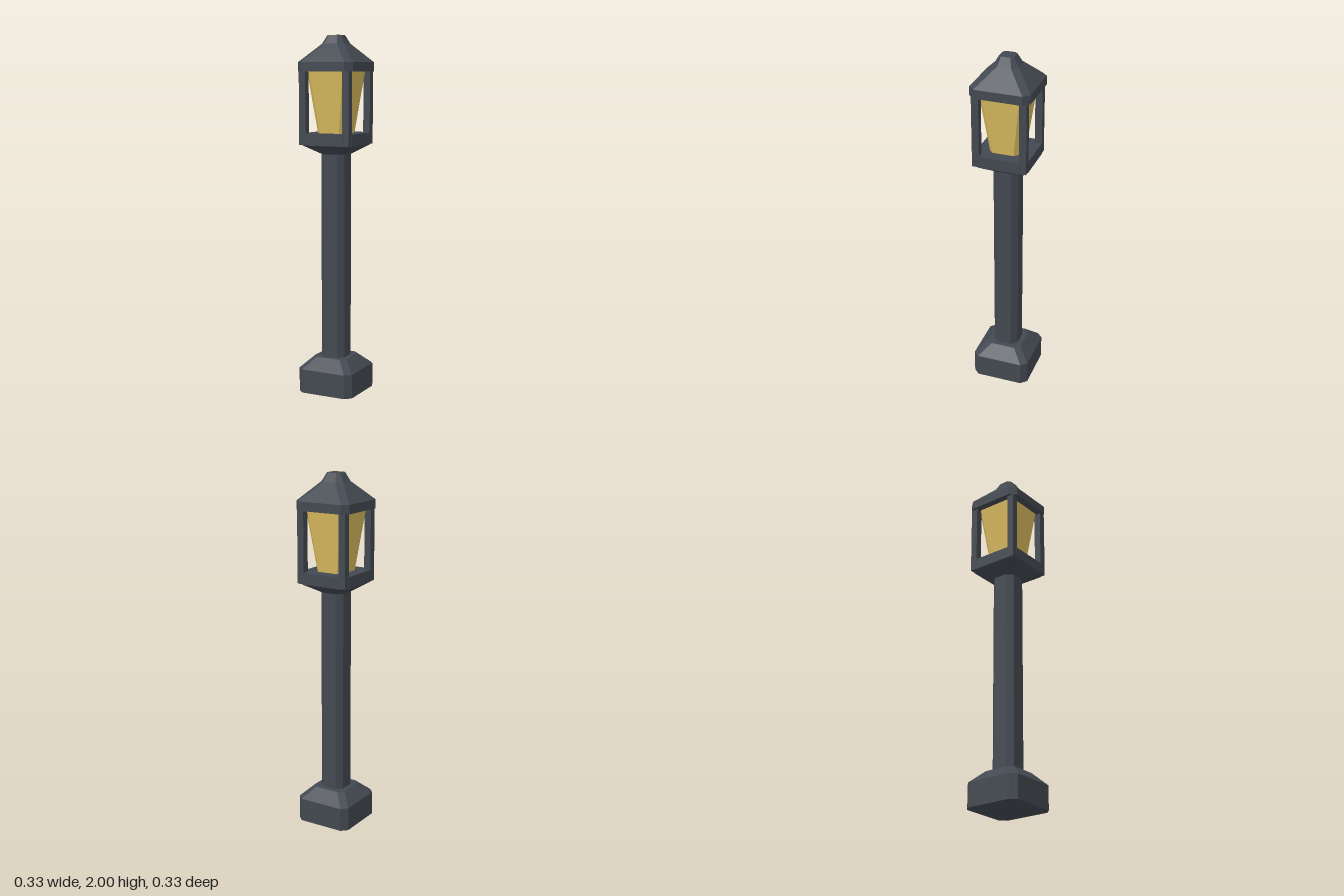
import * as THREE from 'three';

// Octagonal (corner-cut square) loft; sections are [y, half width, half flat]
function loft(sections) {
  const rings = sections.map(([y, h, f]) =>
    [[f, h], [h, f], [h, -f], [f, -h], [-f, -h], [-h, -f], [-h, f], [-f, h]].map(([x, z]) => [x, y, z]));
  const pos = [];
  const tri = (a, b, c) => pos.push(...a, ...b, ...c);
  for (let s = 0; s < rings.length - 1; s++) {
    const lo = rings[s], hi = rings[s + 1];
    for (let i = 0; i < 8; i++) {
      const j = (i + 1) % 8;
      tri(lo[i], lo[j], hi[j]);
      tri(lo[i], hi[j], hi[i]);
    }
  }
  // Flat caps
  const bottom = rings[0], top = rings[rings.length - 1];
  for (let i = 1; i < 7; i++) {
    tri(bottom[0], bottom[i + 1], bottom[i]);
    tri(top[0], top[i], top[i + 1]);
  }
  const g = new THREE.BufferGeometry();
  g.setAttribute('position', new THREE.Float32BufferAttribute(pos, 3));
  g.computeVertexNormals();
  return g;
}

export function createModel() {
  const iron = new THREE.MeshStandardMaterial({ color: 0x434951, flatShading: true });
  iron.name = 'dark iron';
  const amber = new THREE.MeshStandardMaterial({ color: 0xd9bb5e, flatShading: true });
  amber.name = 'amber glass';

  const group = new THREE.Group();
  group.name = 'lampPost';
  const add = (name, geometry, material) => {
    const mesh = new THREE.Mesh(geometry, material);
    mesh.name = name;
    group.add(mesh);
    return mesh;
  };

  // Plinth and pole
  add('base', loft([[0, 0.166, 0.133], [0.135, 0.166, 0.133], [0.2, 0.1, 0.07]]), iron);
  add('pole', loft([[0.19, 0.072, 0.04], [1.36, 0.072, 0.04]]), iron);

  // Lantern
  add('lanternTray', loft([[1.35, 0.074, 0.042], [1.4, 0.153, 0.12], [1.465, 0.153, 0.12]]), iron);
  add('lanternGlass', loft([[1.46, 0.083, 0.058], [1.805, 0.127, 0.103]]), amber);

  // Four corner bars
  const bar = new THREE.BoxGeometry(0.04, 0.41, 0.04);
  for (const x of [-1, 1]) {
    for (const z of [-1, 1]) {
      add('cornerBar', bar, iron).position.set(x * 0.132, 1.607, z * 0.132);
    }
  }

  // Roof with flared cap
  add('roof', loft([
    [1.803, 0.167, 0.133], [1.853, 0.167, 0.133], [1.953, 0.068, 0.038], [2, 0.041, 0.026],
  ]), iron);

  return group;
}
